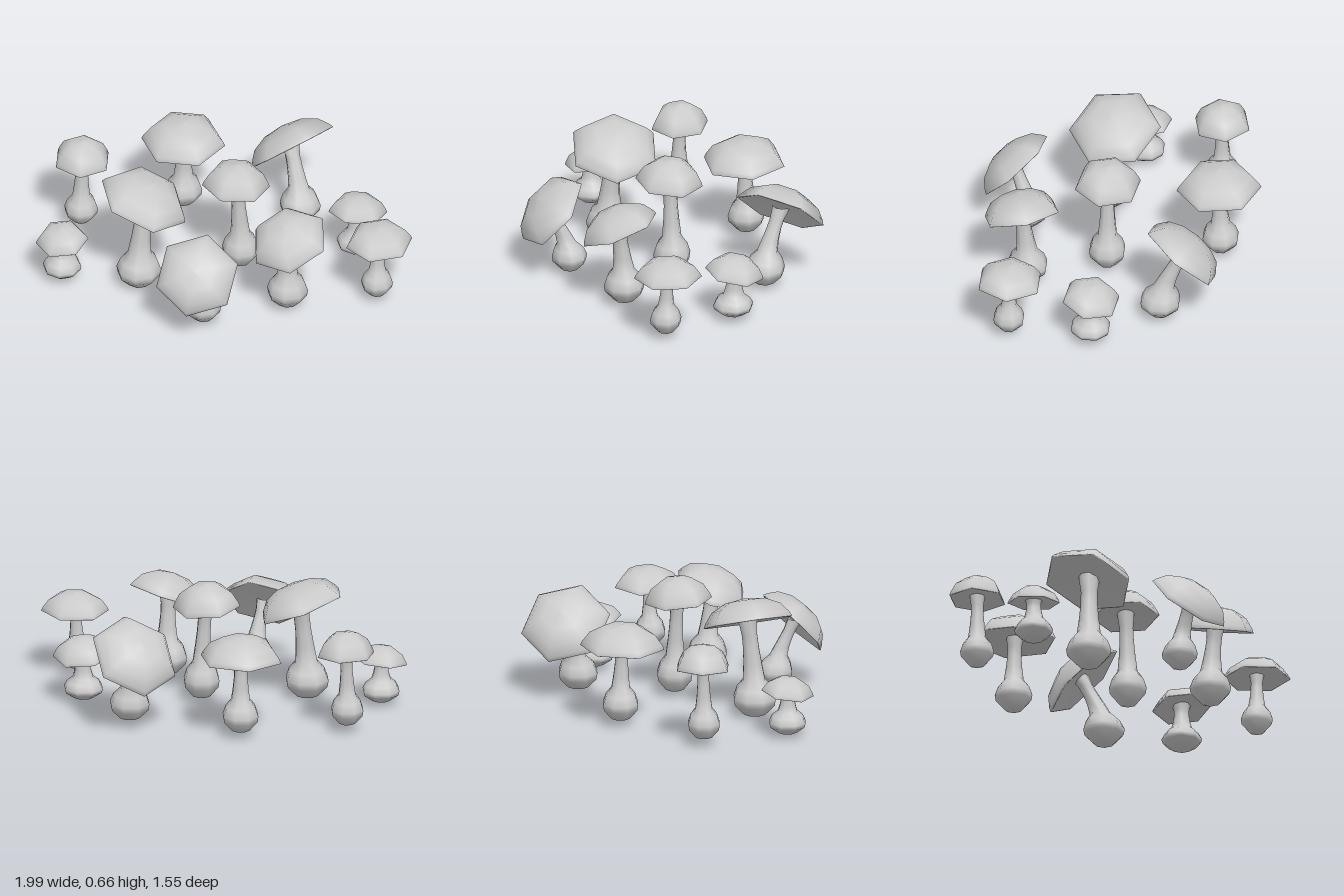
import * as THREE from 'three';
import { mergeVertices } from 'three/addons/utils/BufferGeometryUtils.js';

const material = new THREE.MeshStandardMaterial({ color: 0xcccccc, side: THREE.DoubleSide });
const UP = new THREE.Vector3(0, 1, 0);
const points = (list) => list.map(([x, y]) => new THREE.Vector2(x, y));

// base: foot of the bulb, bulb: [radius, height], rim: centre of the cap rim,
// cap: [radius, height, corner angle in degrees], lean: direction of the cap axis
const mushrooms = [
  { base: [-0.32, 0.03, -0.49], bulb: [0.1, 0.18], rim: [-0.32, 0.43, -0.48], cap: [0.225, 0.13, 0], lean: [0, 1, 0.03] },
  { base: [0.31, 0.02, -0.46], bulb: [0.11, 0.18], rim: [0.255, 0.405, -0.555], cap: [0.243, 0.13, 50], lean: [-0.72, 1, -0.6] },
  { base: [-0.83, 0.04, -0.23], bulb: [0.09, 0.17], rim: [-0.825, 0.43, -0.235], cap: [0.155, 0.13, 25], lean: [0.03, 1, 0.03] },
  { base: [0.65, 0.02, -0.22], bulb: [0.108, 0.12], rim: [0.655, 0.262, -0.225], cap: [0.157, 0.1, 46], lean: [0.04, 1, -0.17] },
  { base: [0.06, 0.02, -0.01], bulb: [0.1, 0.2], rim: [0.035, 0.525, 0], cap: [0.18, 0.135, 48], lean: [0.05, 1, -0.07] },
  { base: [-0.45, 0, 0.23], bulb: [0.12, 0.2], rim: [-0.43, 0.515, 0.2], cap: [0.247, 0.13, 8], lean: [0.38, 1, 0] },
  { base: [0.36, 0.015, 0.31], bulb: [0.11, 0.19], rim: [0.375, 0.44, 0.335], cap: [0.215, 0.13, 23], lean: [-0.24, 1, 0.35] },
  { base: [0.82, 0.035, 0.18], bulb: [0.085, 0.16], rim: [0.83, 0.36, 0.17], cap: [0.18, 0.105, 38], lean: [-0.02, 1, 0] },
  { base: [-0.86, 0.02, 0.24], bulb: [0.103, 0.125], rim: [-0.86, 0.24, 0.24], cap: [0.14, 0.09, 50], lean: [-0.08, 1, 0.12] },
  { base: [-0.06, 0.02, 0.52], bulb: [0.095, 0.165], rim: [-0.08, 0.36, 0.605], cap: [0.225, 0.12, 38], lean: [0.05, 1, 1.1] },
];

// Bulb and stem in one lathe, bent sideways so the top meets the cap
function stemGeometry(foot, top, [r, h]) {
  const height = top.y - foot.y;
  const along = (t) => h + (height - h) * t;
  const profile = points([
    [0, 0], [0.5 * r, 0.06 * h], [0.95 * r, 0.34 * h], [r, 0.52 * h], [0.84 * r, 0.78 * h], [0.53 * r, h],
    [0.44 * r, along(0.25)], [0.38 * r, along(0.5)], [0.37 * r, along(0.72)], [0.48 * r, along(1)],
  ]);
  let geometry = new THREE.LatheGeometry(profile, 8);
  const p = geometry.attributes.position;
  for (let i = 0; i < p.count; i++) {
    const s = Math.max(0, (p.getY(i) - h * 0.6) / (height - h * 0.6)) ** 1.4;
    p.setX(i, p.getX(i) + (top.x - foot.x) * s);
    p.setZ(i, p.getZ(i) + (top.z - foot.z) * s);
  }
  geometry.deleteAttribute('uv');
  geometry.deleteAttribute('normal');
  geometry = mergeVertices(geometry);
  geometry.computeVertexNormals();
  return geometry;
}

// Smooth six-sided dome with a thin lip and a shallow hollow underneath
function capGeometry([r, h, angle]) {
  const profile = points([
    [0, 0.2 * h], [0.5 * r, 0.13 * h], [0.97 * r, 0], [r, 0.02 * h],
    [0.95 * r, 0.2 * h], [0.78 * r, 0.6 * h], [0.45 * r, 0.9 * h], [0, h],
  ]);
  return new THREE.LatheGeometry(profile, 6, THREE.MathUtils.degToRad(90 - angle));
}

export function createModel() {
  const model = new THREE.Group();
  model.name = 'mushroomPatch';
  mushrooms.forEach(({ base, bulb, rim, cap, lean }, i) => {
    const mushroom = new THREE.Group();
    mushroom.name = `mushroom${i + 1}`;
    const foot = new THREE.Vector3(...base);
    const centre = new THREE.Vector3(...rim);
    const axis = new THREE.Vector3(...lean).normalize();
    const top = centre.clone().addScaledVector(axis, cap[1] * 0.3);

    const stem = new THREE.Mesh(stemGeometry(foot, top, bulb), material);
    stem.name = 'stem';
    stem.position.copy(foot);

    const hat = new THREE.Mesh(capGeometry(cap), material);
    hat.name = 'cap';
    hat.position.copy(centre);
    hat.quaternion.setFromUnitVectors(UP, axis);

    mushroom.add(stem, hat);
    model.add(mushroom);
  });
  return model;
}
